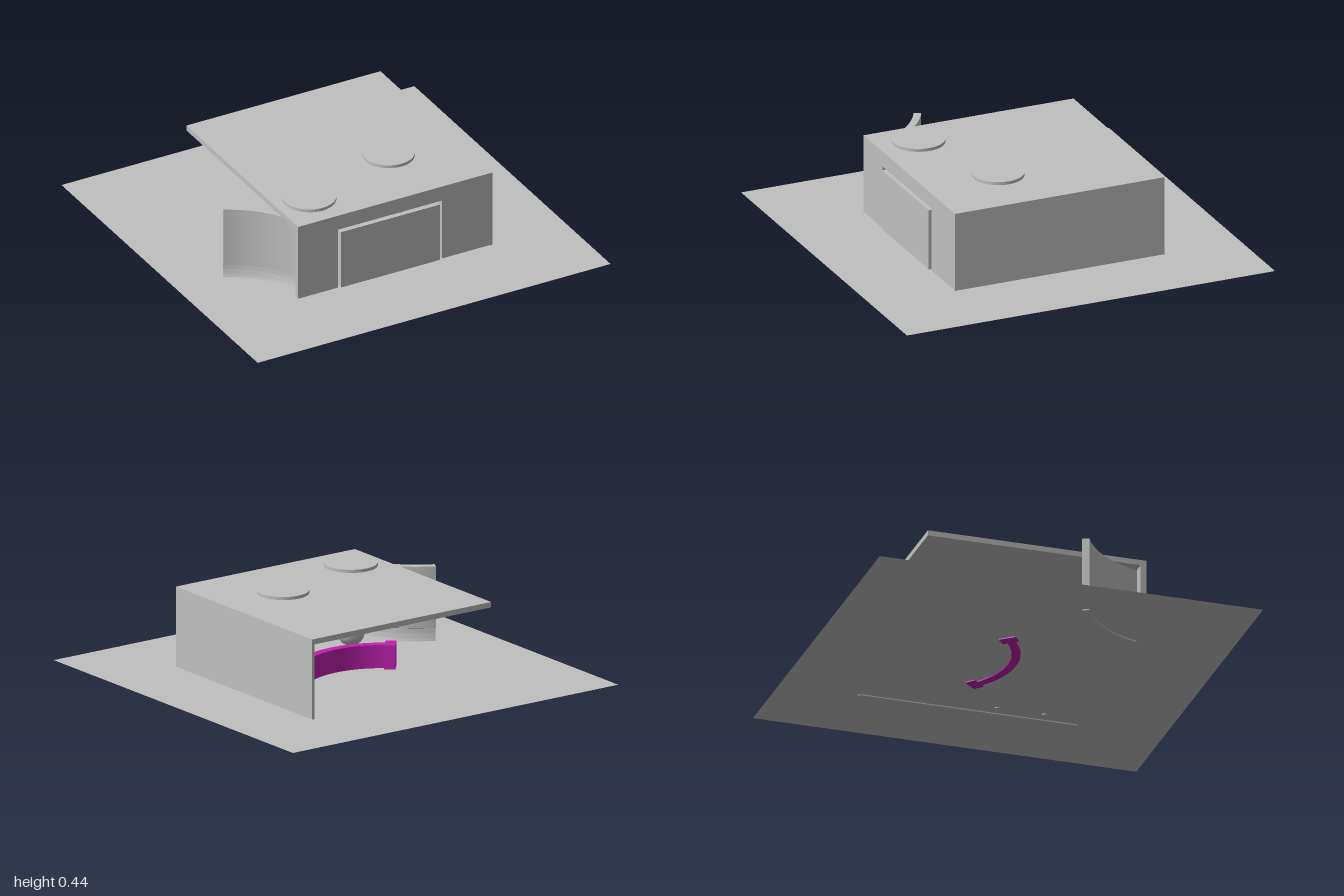
import * as THREE from 'three';

const grey = new THREE.MeshStandardMaterial({ color: 0xc0c0c0, side: THREE.DoubleSide });
grey.name = 'plain grey';
const purple = new THREE.MeshStandardMaterial({ color: 0xc020b0, side: THREE.DoubleSide });
purple.name = 'purple';

export function createModel() {
  const model = new THREE.Group();

  function add(name, geometry, material = grey, x = 0, y = 0, z = 0, parent = model) {
    const mesh = new THREE.Mesh(geometry, material);
    mesh.name = name;
    mesh.position.set(x, y, z);
    parent.add(mesh);
    return mesh;
  }

  // Box given by its minimum and maximum corners
  function block(name, a, b, material = grey) {
    const size = a.map((v, i) => b[i] - v);
    const mid = a.map((v, i) => (v + b[i]) / 2);
    return add(name, new THREE.BoxGeometry(...size), material, ...mid);
  }

  // Upright curved board: a closed [radius, height] profile turned through an angle, with end caps
  function curvedBoard(name, profile, start, length, material, x, z) {
    const group = new THREE.Group();
    group.name = name;
    group.position.set(x, 0, z);
    const points = profile.map(([r, y]) => new THREE.Vector2(r, y));
    points.forEach((p, i) => {
      const next = points[(i + 1) % points.length];
      add(name + 'Face', new THREE.LatheGeometry([p, next], 24, start, length), material, 0, 0, 0, group);
    });
    for (const angle of [start, start + length]) {
      const cap = add(name + 'End', new THREE.ShapeGeometry(new THREE.Shape(points)), material, 0, 0, 0, group);
      cap.rotation.y = angle - Math.PI / 2;
    }
    model.add(group);
    return group;
  }

  // Ground sheet
  add('ground', new THREE.PlaneGeometry(2, 2).rotateX(-Math.PI / 2), grey, 0, 0.006, 0);

  // Roof and side wall; the back and right stay open
  block('roof', [-0.52, 0.392, -0.59], [0.58, 0.42, 0.55]);
  block('sideWall', [0.565, 0, -0.59], [0.58, 0.392, 0.55]);

  // Front wall with doorway
  const wall = new THREE.Shape();
  [[-0.52, 0.008], [-0.295, 0.008], [-0.295, 0.34], [0.295, 0.34],
    [0.295, 0.008], [0.565, 0.008], [0.565, 0.392], [-0.52, 0.392]]
    .forEach(([x, y], i) => (i ? wall.lineTo(x, y) : wall.moveTo(x, y)));
  add('frontWall', new THREE.ExtrudeGeometry(wall, { depth: 0.03, bevelEnabled: false }), grey, 0, 0, 0.52);

  // Door panel standing slightly proud, with a gap round it
  block('door', [-0.28, 0.008, 0.53], [0.28, 0.325, 0.557]);

  // Round roof caps, each with a globe on the floor below
  for (const [x, z, r] of [[-0.337, 0.335, 0.134], [0.215, 0.15, 0.13]]) {
    add('roofCap', new THREE.CylinderGeometry(r, r, 0.016, 40), grey, x, 0.428, z);
    add('floorGlobe', new THREE.SphereGeometry(0.07, 24, 16), grey, x, 0.078, z);
  }

  // Curved screen with a hollowed foot
  const deg = Math.PI / 180;
  curvedBoard('curvedScreen', [
    [0.546, 0], [0.584, 0], [0.578, 0.02], [0.573, 0.045], [0.571, 0.07], [0.584, 0.075],
    [0.584, 0.392], [0.546, 0.392], [0.546, 0.075], [0.559, 0.07], [0.557, 0.045], [0.552, 0.02],
  ], 105.7 * deg, 47.6 * deg, grey, -0.984, 0.668);

  // Curved purple bench with a block at each end
  const radius = 0.414;
  const half = 0.71;
  curvedBoard('bench', [
    [radius - 0.022, 0], [radius + 0.022, 0], [radius + 0.022, 0.125], [radius - 0.022, 0.125],
  ], -half, half * 2, purple, 0, -0.394);
  for (const side of [-1, 1]) {
    const end = add('benchEnd', new THREE.BoxGeometry(0.055, 0.13, 0.085), purple, side * 0.272, 0.065, -0.085);
    end.rotation.y = side * half;
  }

  // Small pegs beside the wall
  for (const z of [0.114, 0.36]) {
    add('floorPeg', new THREE.CylinderGeometry(0.015, 0.015, 0.02, 16), grey, 0.507, 0.011, z);
  }

  return model;
}
